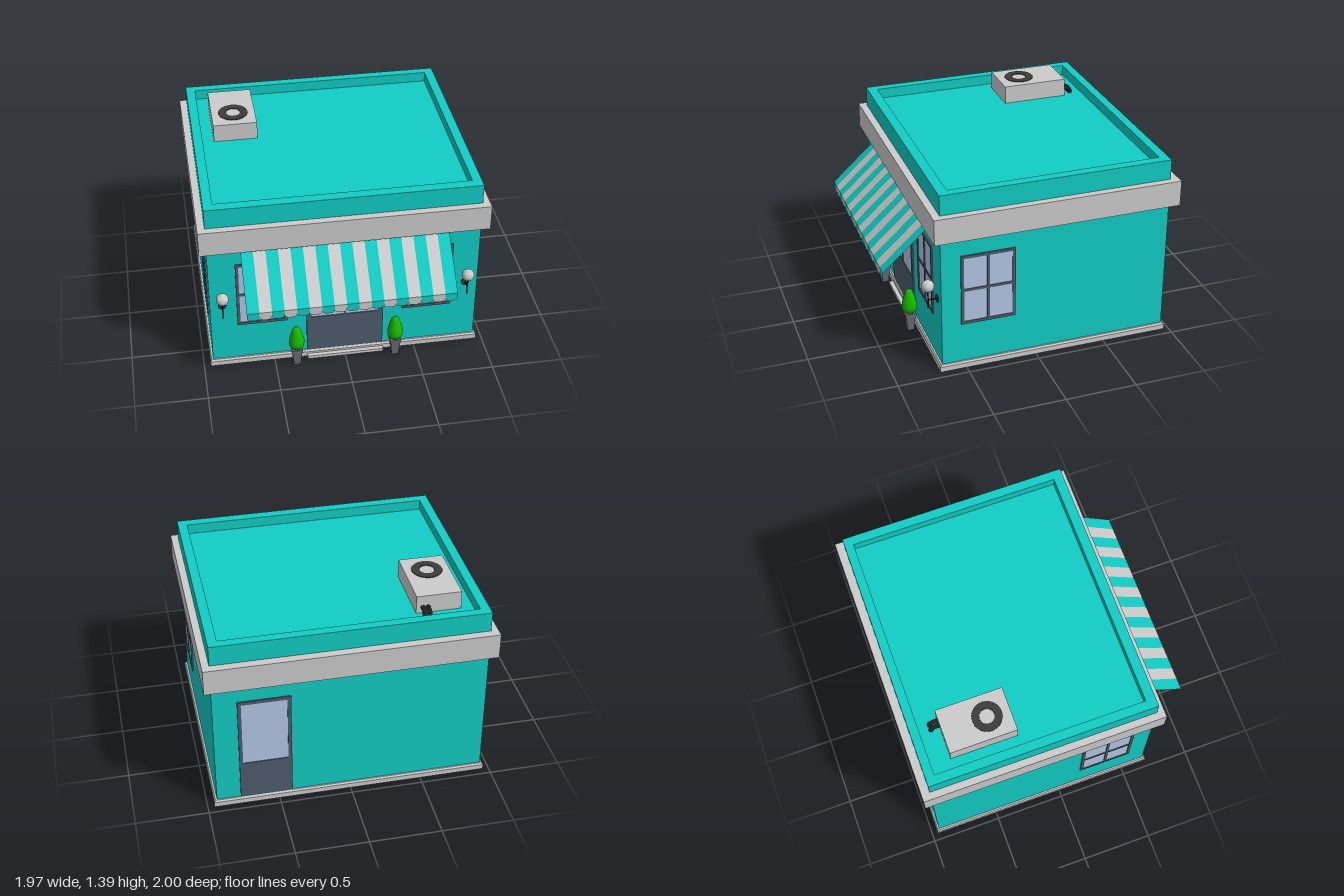
import * as THREE from 'three';

const mat = (color, extra = {}) => new THREE.MeshStandardMaterial({ color, ...extra });
const TEAL = 0x11ccc4, GREY = 0xcccccc;
const teal = mat(TEAL), grey = mat(GREY), greyFlat = mat(GREY, { flatShading: true });
const frameMat = mat(0x4d5c6c), glassMat = mat(0xb4c7e6), dark = mat(0x3c3c3c);
const black = mat(0x222222), potMat = mat(0x686d75, { flatShading: true }), leaf = mat(0x14bd00);

function add(parent, name, geometry, material, x = 0, y = 0, z = 0) {
  const m = new THREE.Mesh(geometry, material);
  m.name = name;
  m.position.set(x, y, z);
  parent.add(m);
  return m;
}

// Box given by its minimum and maximum corners
function block(parent, name, material, a, b) {
  const g = new THREE.BoxGeometry(b[0] - a[0], b[1] - a[1], b[2] - a[2]);
  return add(parent, name, g, material, (a[0] + b[0]) / 2, (a[1] + b[1]) / 2, (a[2] + b[2]) / 2);
}

function rect(T, x0, y0, x1, y1) {
  const s = new T();
  s.moveTo(x0, y0).lineTo(x1, y0).lineTo(x1, y1).lineTo(x0, y1).closePath();
  return s;
}

// Framed opening facing +z, standing on its origin; panes are [x0, y0, x1, y1]
function glazing(name, w, h, panes) {
  const g = new THREE.Group();
  g.name = name;
  const shape = rect(THREE.Shape, -w / 2, 0, w / 2, h);
  shape.holes = panes.map(p => rect(THREE.Path, ...p));
  add(g, 'frame', new THREE.ExtrudeGeometry(shape, { depth: 0.012, bevelEnabled: false }), frameMat);
  for (const [x0, y0, x1, y1] of panes)
    block(g, 'glass', glassMat, [x0, y0, 0], [x1, y1, 0.006]);
  return g;
}

function windowUnit(name, w) {
  const h = 0.52, f = 0.021, b = 0.009, mid = 0.26, panes = [];
  for (const [x0, x1] of [[-w / 2 + f, -b], [b, w / 2 - f]])
    for (const [y0, y1] of [[f, mid - b], [mid + b, h - f]]) panes.push([x0, y0, x1, y1]);
  return glazing(name, w, h, panes);
}

function place(parent, obj, x, y, z, ry = 0) {
  obj.position.set(x, y, z);
  obj.rotation.y = ry;
  parent.add(obj);
}

function awning() {
  const g = new THREE.Group();
  g.name = 'awning';
  const n = 17, w = 1.42 / n;
  const mats = [TEAL, GREY].map(c => mat(c, { side: THREE.DoubleSide }));
  const slope = Math.hypot(0.33, 0.3);
  // Hanging flap with a rounded lower edge
  const flap = new THREE.Shape();
  flap.moveTo(-w / 2, 0).lineTo(-w / 2, -0.035);
  flap.quadraticCurveTo(-w / 2, -0.062, 0, -0.062).quadraticCurveTo(w / 2, -0.062, w / 2, -0.035);
  flap.lineTo(w / 2, 0).closePath();
  for (let i = 0; i < n; i++) {
    const x = -0.71 + (i + 0.5) * w;
    const s = add(g, 'awningStripe', new THREE.PlaneGeometry(w, slope), mats[i % 2], x, 0.855, 0.835);
    s.rotation.x = -Math.atan2(0.33, 0.3);
    add(g, 'awningFlap', new THREE.ShapeGeometry(flap, 6), mats[i % 2], x, 0.705, 1);
  }
  return g;
}

function lamp() {
  const g = new THREE.Group();
  g.name = 'wallLamp';
  add(g, 'globe', new THREE.SphereGeometry(0.043, 24, 16), grey, 0, 0.635, 0.735);
  add(g, 'stem', new THREE.CylinderGeometry(0.005, 0.005, 0.13, 8), black, 0, 0.535, 0.735);
  add(g, 'arm', new THREE.CylinderGeometry(0.005, 0.005, 0.07, 8), black, 0, 0.53, 0.702).rotation.x = Math.PI / 2;
  add(g, 'wallPlate', new THREE.CylinderGeometry(0.028, 0.028, 0.01, 20), dark, 0, 0.53, 0.673).rotation.x = Math.PI / 2;
  return g;
}

function planter() {
  const g = new THREE.Group();
  g.name = 'planter';
  const r = Math.SQRT2;
  add(g, 'pot', new THREE.CylinderGeometry(0.034 * r, 0.024 * r, 0.12, 4), potMat, 0, 0.06, 0).rotation.y = Math.PI / 4;
  block(g, 'potRim', potMat, [-0.039, 0.115, -0.039], [0.039, 0.137, 0.039]);
  const profile = [[0, 0.13], [0.03, 0.137], [0.05, 0.16], [0.056, 0.19], [0.052, 0.22],
    [0.041, 0.262], [0.027, 0.304], [0.016, 0.32], [0, 0.325]];
  add(g, 'bush', new THREE.LatheGeometry(profile.map(p => new THREE.Vector2(...p)), 12), leaf);
  return g;
}

function airConditioner() {
  const g = new THREE.Group();
  g.name = 'airConditioner';
  block(g, 'housing', grey, [-0.785, 1.25, -0.74], [-0.475, 1.387, -0.27]);
  // Fan ring with finely notched edges
  const ring = new THREE.Shape(), hole = new THREE.Path();
  const N = 72;
  for (let i = 0; i < N; i++) {
    const a = (i / N) * Math.PI * 2, t = i % 2 ? 0.003 : 0;
    const put = (s, r) => s[i ? 'lineTo' : 'moveTo'](Math.cos(a) * r, Math.sin(a) * r);
    put(ring, 0.105 - t);
    put(hole, 0.05 + t);
  }
  ring.holes.push(hole);
  add(g, 'fanRing', new THREE.ExtrudeGeometry(ring, { depth: 0.006, bevelEnabled: false }), dark,
    -0.63, 1.386, -0.43).rotation.x = -Math.PI / 2;
  // Two pipes bending down into the roof
  for (const x of [-0.555, -0.52]) {
    const path = new THREE.CatmullRomCurve3([[-0.73, 1.3], [-0.77, 1.3], [-0.795, 1.285], [-0.8, 1.25]]
      .map(([z, y]) => new THREE.Vector3(x, y, z)));
    add(g, 'pipe', new THREE.TubeGeometry(path, 14, 0.016, 10), black);
  }
  return g;
}

export function createModel() {
  const model = new THREE.Group();
  model.name = 'shop';

  // Walls rising into a parapet, with the roof sunk inside
  const plan = rect(THREE.Shape, -0.935, -0.67, 0.935, 0.942);
  plan.holes.push(rect(THREE.Path, -0.87, -0.6, 0.87, 0.88));
  add(model, 'walls', new THREE.ExtrudeGeometry(plan, { depth: 1.31, bevelEnabled: false }), teal, 0, 0.02, 0)
    .rotation.x = -Math.PI / 2;
  block(model, 'roof', teal, [-0.88, 1.2, -0.89], [0.88, 1.257, 0.61]);
  block(model, 'cornice', grey, [-0.985, 1.005, -1], [0.985, 1.187, 0.722]);

  // Plinth with a chamfered upper edge
  const plinth = new THREE.BoxGeometry(1.91, 0.05, 1.65, 1, 2, 1);
  const p = plinth.attributes.position;
  for (let i = 0; i < p.count; i++) {
    if (p.getY(i) > 0.01) p.setXYZ(i, p.getX(i) * 0.991, p.getY(i), p.getZ(i) * 0.989);
    else if (p.getY(i) > -0.01) p.setY(i, 0.012);
  }
  plinth.computeVertexNormals();
  add(model, 'plinth', plinth, greyFlat, 0, 0.035, -0.135);
  block(model, 'doorStep', grey, [-0.27, 0.008, 0.6], [0.27, 0.032, 0.72]);

  // Doors
  place(model, glazing('frontDoor', 0.54, 0.81, [[-0.235, 0.293, -0.006, 0.775], [0.006, 0.293, 0.235, 0.775]]),
    0, 0.06, 0.668);
  place(model, glazing('backDoor', 0.36, 0.81, [[-0.155, 0.293, 0.155, 0.785]]), 0.59, 0.06, -0.94, Math.PI);

  // Windows, lamps and planters on both sides
  for (const s of [-1, 1]) {
    place(model, windowUnit('frontWindow', 0.345), s * 0.578, 0.35, 0.668);
    place(model, windowUnit('sideWindow', 0.38), s * 0.933, 0.35, 0.345, s * Math.PI / 2);
    place(model, lamp(), s * 0.85, 0, 0);
    place(model, planter(), s * 0.35, 0, 0.732);
  }

  model.add(awning(), airConditioner());
  return model;
}
